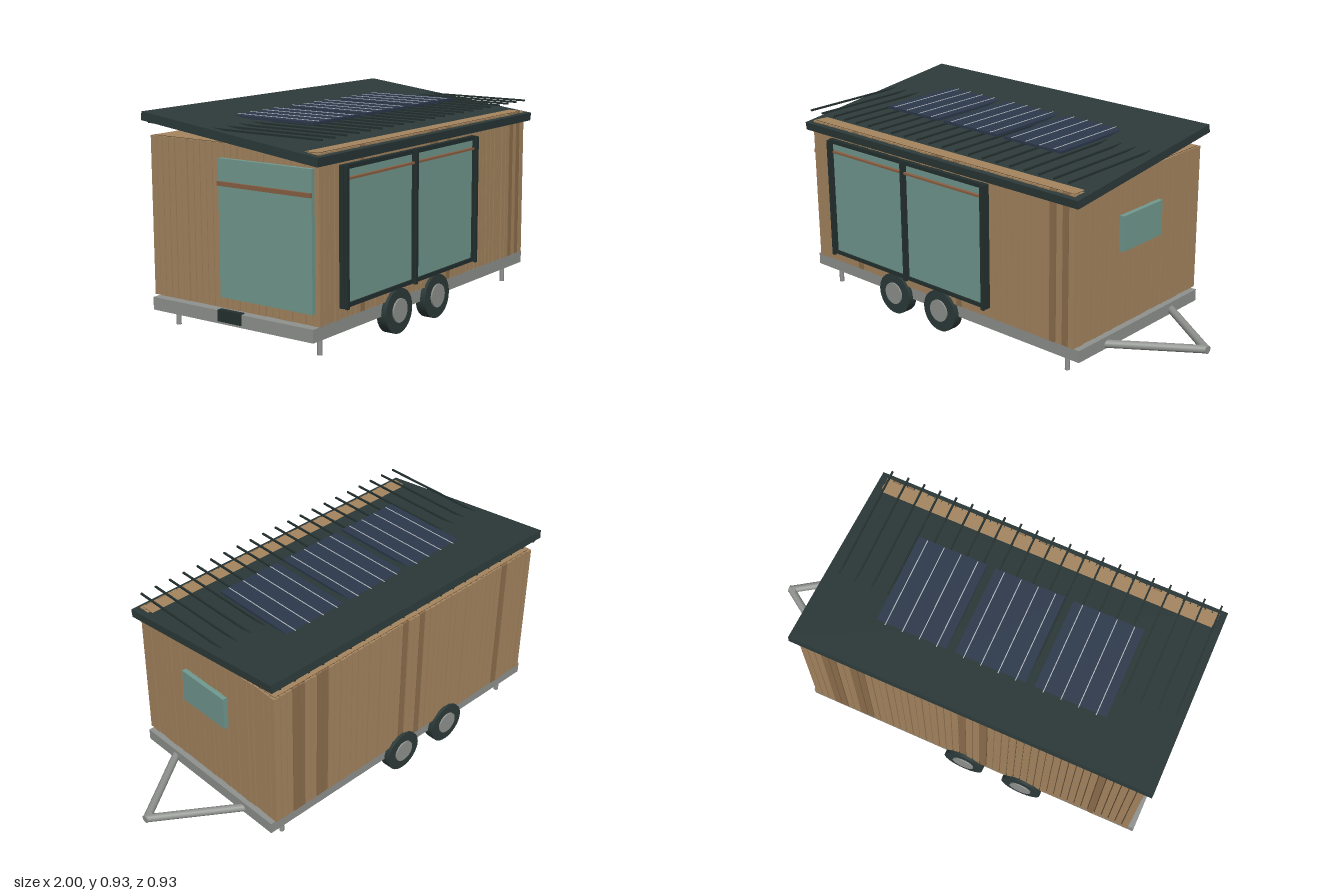
import * as THREE from 'three';

const mat = (name, color, side = THREE.FrontSide) => {
  const m = new THREE.MeshStandardMaterial({ color, side });
  m.name = name;
  return m;
};

export function createModel() {
  const house = new THREE.Group();
  house.name = 'tinyHouseTrailer';

  const wood = mat('cedar', 0xa5855f);
  const darkWood = mat('darkCedar', 0x8c6e4c);
  const groove = mat('grooveBrown', 0x54422e);
  const metal = mat('roofGreen', 0x2c3a39);
  const frameMat = mat('frameDark', 0x24302f);
  const glass = mat('glass', 0x71998f);
  const steel = mat('steelGrey', 0x8f928e);
  const solar = mat('solarBlue', 0x2c384b);
  const silver = mat('silver', 0xb4b9be);
  const copper = mat('copper', 0x8a6044);

  const ZC = -0.007; // middle of the trailer across its width
  const group = (name, parent = house) => {
    const g = new THREE.Group();
    g.name = name;
    parent.add(g);
    return g;
  };
  // box given by its limits on each axis
  const box = (name, m, [x0, x1], [y0, y1], [z0, z1], parent = house) => {
    const mesh = new THREE.Mesh(new THREE.BoxGeometry(x1 - x0, y1 - y0, z1 - z0), m);
    mesh.position.set((x0 + x1) / 2, (y0 + y1) / 2, (z0 + z1) / 2);
    mesh.name = name;
    parent.add(mesh);
    return mesh;
  };
  // cylinder between two points
  const rod = (name, m, a, b, r, parent = house, sides = 20) => {
    const p = new THREE.Vector3(...a), q = new THREE.Vector3(...b);
    const mesh = new THREE.Mesh(new THREE.CylinderGeometry(r, r, p.distanceTo(q), sides), m);
    mesh.position.copy(p).lerp(q, 0.5);
    mesh.quaternion.setFromUnitVectors(new THREE.Vector3(0, 1, 0), q.sub(p).normalize());
    mesh.name = name;
    parent.add(mesh);
    return mesh;
  };

  // Trailer: deck, jack legs, wheels, drawbar
  const trailer = group('trailer');
  box('deck', steel, [-0.996, 0.645], [0.09, 0.145], [-0.43, 0.418], trailer);
  box('rearStep', frameMat, [-1, -0.975], [0.1, 0.149], [-0.068, 0.055], trailer);
  for (const s of [-1, 1]) {
    for (const x of [-0.893, 0.545])
      rod('jackLeg', steel, [x, 0.01, ZC + s * 0.378], [x, 0.1, ZC + s * 0.378], 0.011, trailer);
    for (const x of [-0.44, -0.147]) {
      rod('tyre', metal, [x, 0.097, ZC + s * 0.402], [x, 0.097, ZC + s * 0.45], 0.097, trailer, 32);
      rod('hub', steel, [x, 0.1, ZC + s * 0.395], [x, 0.1, ZC + s * 0.457], 0.052, trailer, 28);
    }
    rod('drawbar', steel, [0.63, 0.109, ZC + s * 0.242], [0.99, 0.109, ZC], 0.018, trailer);
  }
  rod('coupler', steel, [0.965, 0.109, ZC], [1, 0.109, ZC], 0.018, trailer);

  // Cabin core, dark where it shows between the boards
  const X0 = -0.97, X1 = 0.625, Z0 = -0.445, Z1 = 0.431, T = 0.012;
  const core = box('cabinCore', groove, [X0 + T, X1 - T], [0.15, 0.83], [Z0 + T, Z1 - T]);
  core.material = [groove, groove, wood, groove, groove, groove];

  // Vertical cladding with slightly varied depth
  let seed = 7;
  const rand = () => (seed = (seed * 16807) % 2147483647) / 2147483647;
  const cladding = group('cladding');
  const clad = (count, start, end, place) => {
    const step = (end - start) / count;
    for (let i = 0; i < count; i++) {
      const a = start + i * step;
      place([a + 0.0022, a + step - 0.0022], rand() * 0.004, rand());
    }
  };
  const Y = [0.15, 0.828];
  clad(47, X0, X1, (x, d, k) =>
    box('frontBoard', k < 0.2 ? darkWood : wood, x, Y, [Z1 - T, Z1 - d], cladding));
  clad(47, X0, X1, (x, d, k) =>
    box('backBoard', k < 0.2 ? darkWood : wood, x, Y, [Z0 + d, Z0 + T], cladding));
  clad(26, Z0, Z1, (z, d) => box('rightEndBoard', wood, [X0 + d, X0 + T], Y, z, cladding));
  clad(26, Z0, Z1, (z, d) => box('leftEndBoard', wood, [X1 - T, X1 - d], Y, z, cladding));

  // Sliding glass doors at the front
  const doors = group('slidingDoors');
  box('doorGlass', glass, [-0.82, 0.135], [0.21, 0.76], [0.425, 0.444], doors);
  for (const y of [0.197, 0.75])
    box('doorRail', frameMat, [-0.84, 0.15], [y, y + 0.018], [0.425, 0.451], doors);
  for (const x of [-0.831, -0.343, 0.141]) {
    box('doorJamb', frameMat, [x - 0.01, x + 0.01], [0.197, 0.768], [0.425, 0.451], doors);
    box('doorStile', frameMat, [x - 0.008, x + 0.008], [0.195, 0.766], [0.454, 0.467], doors);
  }
  box('doorBar', copper, [-0.81, 0.125], [0.709, 0.718], [0.444, 0.459], doors);

  // End door and end window
  box('endDoorGlass', glass, [-0.988, -0.96], [0.2, 0.77], [-0.06, 0.41]);
  box('endDoorBar', copper, [-0.998, -0.985], [0.66, 0.678], [-0.06, 0.41]);
  box('endWindow', glass, [0.61, 0.644], [0.5, 0.66], [-0.142, 0.129]);

  // Sloping roof with level seams
  const roof = box('roofSlab', metal, [-1, 0.655], [0.8365, 0.8735], [ZC - 0.46, ZC + 0.46]);
  roof.rotation.x = 0.12;
  const seams = group('roofSeams');
  for (let i = 0; i < 21; i++) {
    const x = -0.963 + i * 0.0782;
    box('seam', frameMat, [x - 0.004, x + 0.004], [0.877, 0.885], [-0.457, 0.444], seams);
  }

  // Solar panels with silver cell lines
  const panels = group('solarPanels');
  for (const x of [-0.5385, -0.1725, 0.1925]) {
    box('solarPanel', solar, [x - 0.163, x + 0.163], [0.888, 0.9], [-0.235, 0.198], panels);
    for (const d of [-0.12, -0.04, 0.04, 0.12])
      box('cellLine', silver, [x + d - 0.002, x + d + 0.002], [0.899, 0.902], [-0.235, 0.194], panels);
  }
  return house;
}
